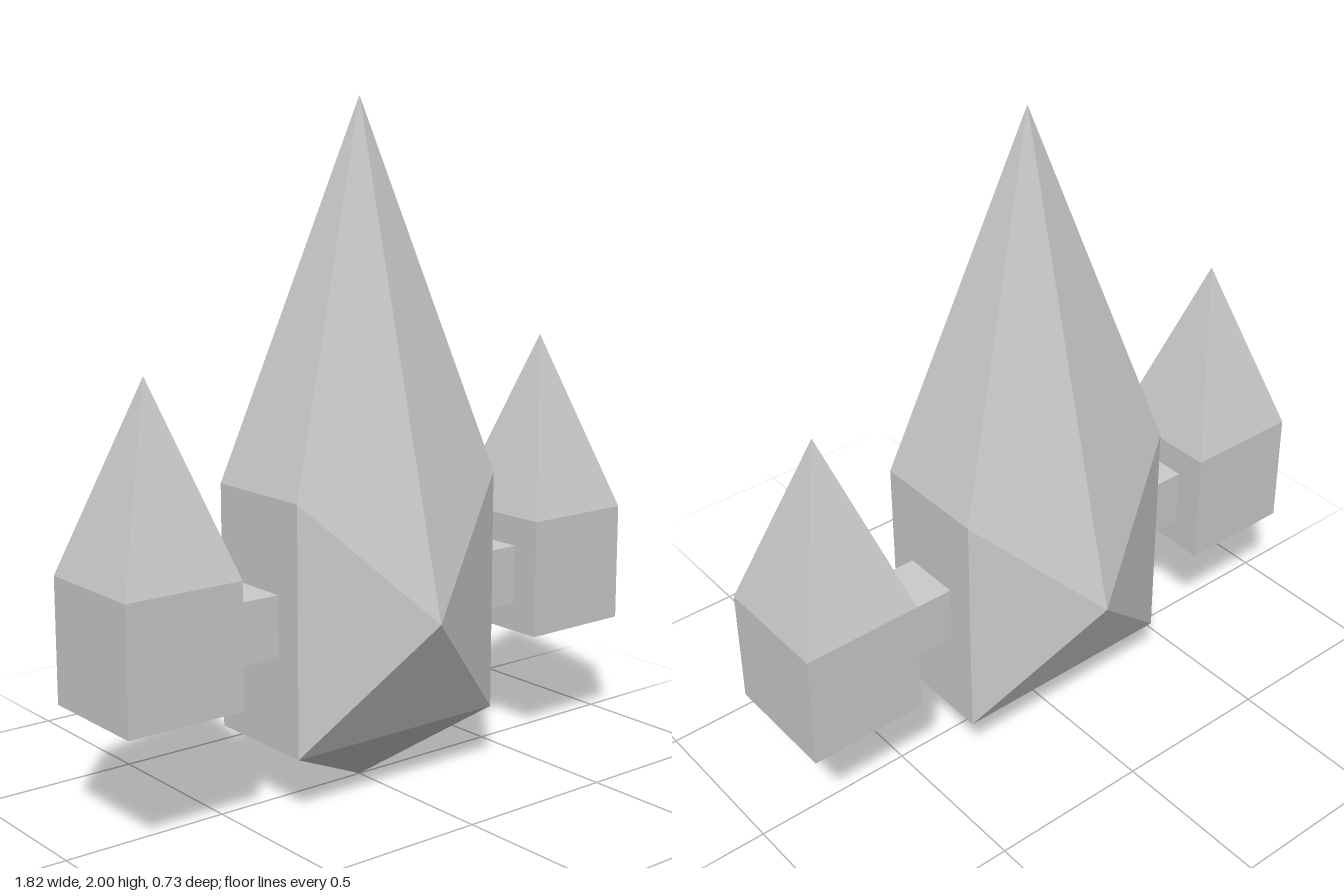
import * as THREE from 'three';
import { ConvexGeometry } from 'three/addons/geometries/ConvexGeometry.js';

const U = 2 / 11; // design unit: the model is 11 units tall

export function createModel() {
  const model = new THREE.Group();
  model.name = 'spacecraft';
  const material = new THREE.MeshStandardMaterial({ color: 0xcccccc, flatShading: true });

  const addMesh = (parent, name, geometry, x, y, z) => {
    const mesh = new THREE.Mesh(geometry, material);
    mesh.name = name;
    mesh.position.set(x, y, z);
    parent.add(mesh);
    return mesh;
  };

  // Faceted hull: a block with points above, below, in front and behind
  const points = [new THREE.Vector3(0, 11 * U, 0), new THREE.Vector3(0, 0, 0)];
  for (const sz of [-1, 1]) {
    points.push(new THREE.Vector3(0, 3 * U, sz * 2 * U));
    for (const sx of [-1, 1]) {
      for (const y of [1, 5]) points.push(new THREE.Vector3(sx * 2 * U, y * U, sz * U));
    }
  }
  addMesh(model, 'hull', new ConvexGeometry(points), 0, 0, 0);

  // Side pods, each with a pyramid nose and a strut to the hull
  const podGeometry = new THREE.BoxGeometry(2 * U, 2 * U, 2 * U);
  const noseGeometry = new THREE.ConeGeometry(Math.SQRT2 * U, 3 * U, 4, 1, true).rotateY(Math.PI / 4);
  const strutGeometry = new THREE.BoxGeometry(U, U, U);
  for (const [side, label] of [[1, 'left'], [-1, 'right']]) {
    const pod = new THREE.Group();
    pod.name = label + 'Pod';
    addMesh(pod, label + 'PodBody', podGeometry, side * 4 * U, 3 * U, 0);
    addMesh(pod, label + 'PodNose', noseGeometry, side * 4 * U, 5.5 * U, 0);
    addMesh(pod, label + 'Strut', strutGeometry, side * 2.5 * U, 3 * U, 0);
    model.add(pod);
  }
  return model;
}
